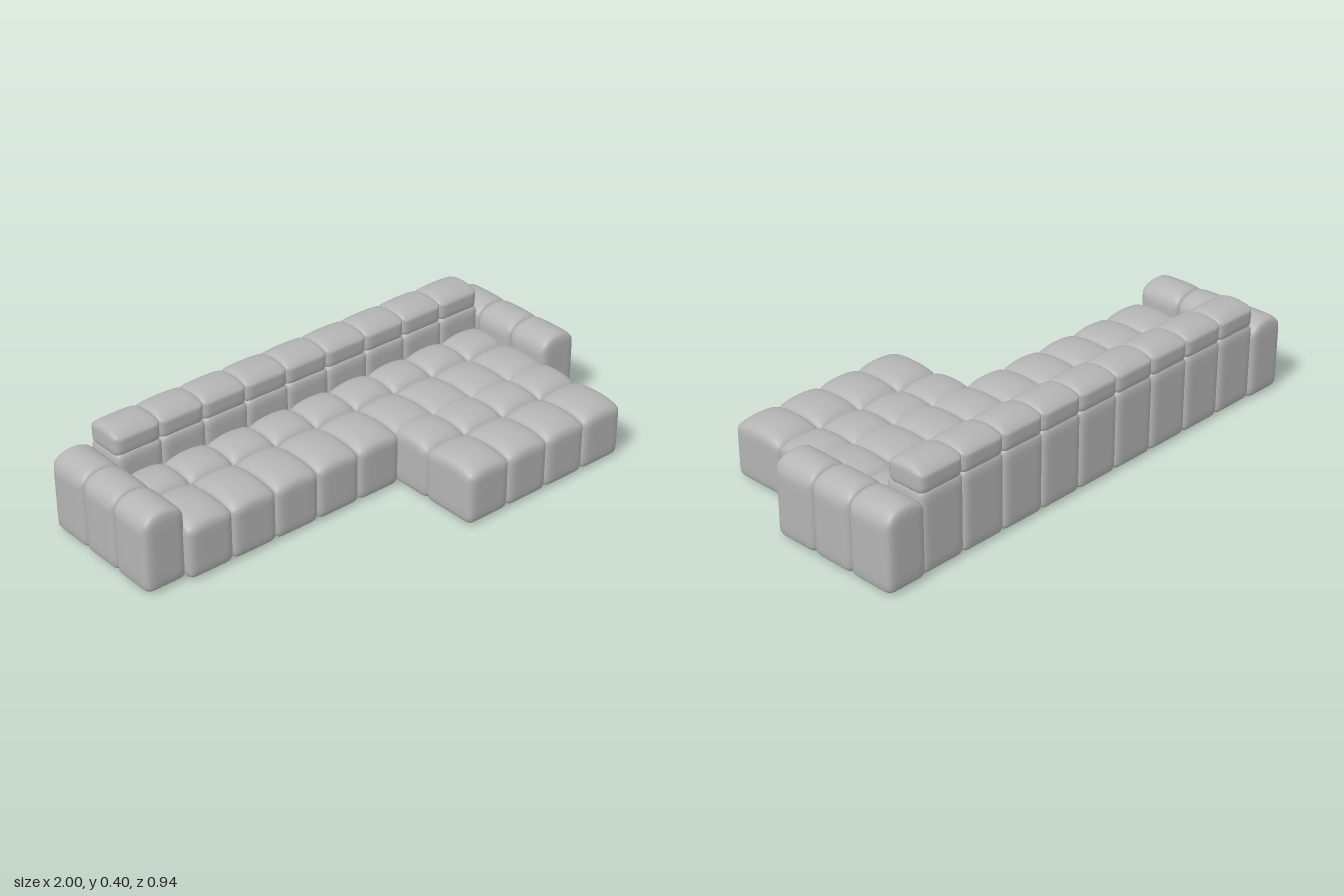
import * as THREE from 'three';
import { mergeVertices } from 'three/addons/utils/BufferGeometryUtils.js';

const clamp = THREE.MathUtils.clamp;

// Soft block with rounded edges; crownX / crownZ lower the top towards its sides
function cushionGeometry(w, h, d, { r = 0.03, crownX = 0, crownZ = 0 }) {
  const box = new THREE.BoxGeometry(2, 2, 2, 14, 12, 14);
  box.deleteAttribute('uv');
  box.deleteAttribute('normal');
  const geo = mergeVertices(box);
  const half = new THREE.Vector3(w / 2, h / 2, d / 2);
  const core = half.clone().subScalar(r);
  const pos = geo.attributes.position;
  const p = new THREE.Vector3();
  const inner = new THREE.Vector3();
  const drop = (u) => 1 - Math.sqrt(1 - 0.94 * Math.min(u * u, 1));
  for (let i = 0; i < pos.count; i++) {
    p.fromBufferAttribute(pos, i);
    // crowd the grid towards the edges, then round them
    p.set(Math.sin(p.x * Math.PI / 2), Math.sin(p.y * Math.PI / 2), Math.sin(p.z * Math.PI / 2)).multiply(half);
    inner.set(clamp(p.x, -core.x, core.x), clamp(p.y, -core.y, core.y), clamp(p.z, -core.z, core.z));
    p.sub(inner).setLength(r).add(inner);
    const top = Math.max(0, p.y / half.y) ** 2;
    p.y -= top * (crownX * drop(p.x / half.x) + crownZ * drop(p.z / half.z));
    pos.setXYZ(i, p.x, p.y, p.z);
  }
  geo.computeVertexNormals();
  return geo;
}

export function createModel() {
  const sofa = new THREE.Group();
  sofa.name = 'sectionalSofa';
  const fabric = new THREE.MeshStandardMaterial({ color: 0xb4b4b4 });
  fabric.name = 'greyFabric';

  const columns = 9, left = -0.839, pitch = 0.1862;

  // Row of equal cushions along x
  function row(name, first, last, [y0, y1], [z0, z1], style) {
    const group = new THREE.Group();
    group.name = name;
    const geo = cushionGeometry(pitch + 0.008, y1 - y0, z1 - z0, style);
    for (let i = first; i < last; i++) {
      const mesh = new THREE.Mesh(geo, fabric);
      mesh.name = name + 'Cushion' + (i + 1);
      mesh.position.set(left + pitch * (i + 0.5), (y0 + y1) / 2, (z0 + z1) / 2);
      group.add(mesh);
    }
    sofa.add(group);
  }

  // Seat and chaise
  const seat = { r: 0.032, crownX: 0.032, crownZ: 0.04 };
  row('rearSeat', 0, columns, [0.003, 0.242], [-0.315, -0.132], seat);
  row('frontSeat', 0, columns, [0.003, 0.242], [-0.145, 0.102], seat);
  row('chaiseMiddle', 5, columns, [0.003, 0.242], [0.045, 0.246], seat);
  row('chaiseFront', 5, columns, [0.003, 0.242], [0.233, 0.471], seat);

  // Backrest blocks and the rolls on top
  row('backrest', 0, columns, [0.003, 0.322], [-0.462, -0.288], { r: 0.028, crownX: 0.008, crownZ: 0.01 });
  row('backRoll', 0, columns, [0.295, 0.403], [-0.46, -0.295], { r: 0.03, crownX: 0.012, crownZ: 0.042 });

  // Armrests, three blocks each, domed across their width
  const armEdges = [-0.473, -0.285, -0.109, 0.075];
  for (const [side, name] of [[1, 'leftArm'], [-1, 'rightArm']]) {
    const arm = new THREE.Group();
    arm.name = name;
    for (let i = 0; i < 3; i++) {
      const z0 = armEdges[i] - (i > 0 ? 0.004 : 0);
      const z1 = armEdges[i + 1] + (i < 2 ? 0.004 : 0);
      const mesh = new THREE.Mesh(
        cushionGeometry(0.172, 0.311, z1 - z0, { r: 0.032, crownX: 0.07, crownZ: 0.005 }), fabric);
      mesh.name = name + 'Block' + (i + 1);
      mesh.position.set(side * 0.914, 0.1585, (z0 + z1) / 2);
      arm.add(mesh);
    }
    sofa.add(arm);
  }
  return sofa;
}
